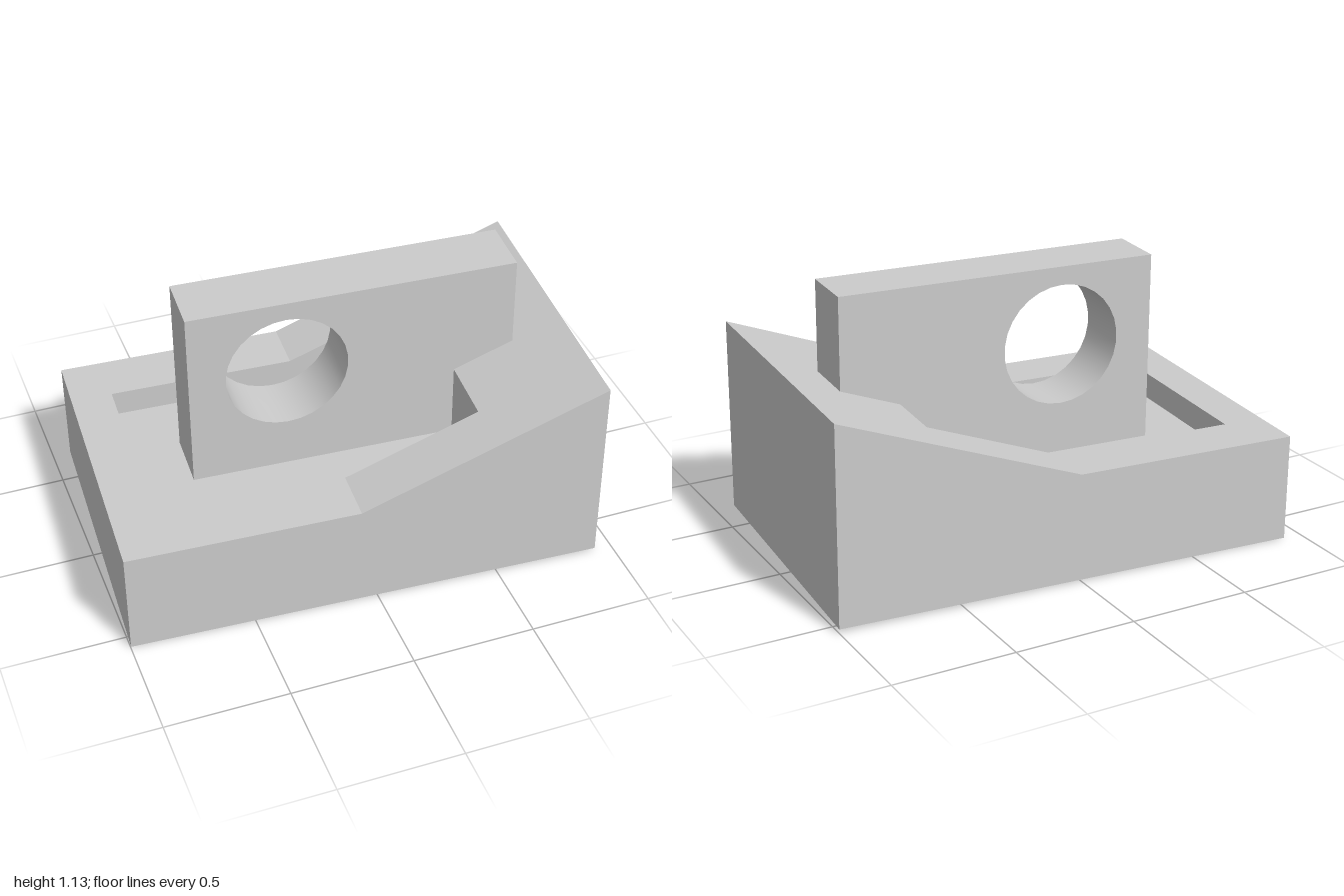
import * as THREE from 'three';
import { toCreasedNormals } from 'three/addons/utils/BufferGeometryUtils.js';

const FLOOR = 0.335;
const US = [-0.9625, -0.794, -0.031, 0.513, 0.9625]; // stations along the length
const VS = [-0.616, -0.395, 0.395, 0.616]; // stations across the width

// Top of the base: level, then a ramp rising to the right end
const topAt = (u) => 0.443 + Math.max(0, (u - US[2]) / (US[4] - US[2])) * 0.37;

function baseGeometry() {
  const pos = [];
  const quad = (a, b, c, d) => pos.push(...a, ...b, ...c, ...a, ...c, ...d);
  const inside = (i, j) => i >= 0 && i < 4 && j >= 0 && j < 3;
  const isPocket = (i, j) => j === 1 && (i === 1 || i === 2);
  const height = (i, j, u) => (!inside(i, j) ? 0 : isPocket(i, j) ? FLOOR : topAt(u));

  // Each cell gets a top, a bottom and a wall wherever its neighbour is lower
  for (let i = 0; i < 4; i++) {
    for (let j = 0; j < 3; j++) {
      const [u0, u1, v0, v1] = [US[i], US[i + 1], VS[j], VS[j + 1]];
      const h = (u) => height(i, j, u);
      quad([u0, h(u0), v0], [u0, h(u0), v1], [u1, h(u1), v1], [u1, h(u1), v0]);
      quad([u0, 0, v0], [u1, 0, v0], [u1, 0, v1], [u0, 0, v1]);
      const sides = [
        [0, 1, u0, v1, u1, v1],
        [1, 0, u1, v1, u1, v0],
        [0, -1, u1, v0, u0, v0],
        [-1, 0, u0, v0, u0, v1],
      ];
      for (const [di, dj, ua, va, ub, vb] of sides) {
        const low = (u) => height(i + di, j + dj, u);
        if (h(ua) - low(ua) < 1e-6 && h(ub) - low(ub) < 1e-6) continue;
        quad([ua, low(ua), va], [ub, low(ub), vb], [ub, h(ub), vb], [ua, h(ua), va]);
      }
    }
  }
  const geo = new THREE.BufferGeometry();
  geo.setAttribute('position', new THREE.Float32BufferAttribute(pos, 3));
  geo.computeVertexNormals();
  return geo;
}

function plateGeometry() {
  const shape = new THREE.Shape([
    new THREE.Vector2(-0.574, FLOOR),
    new THREE.Vector2(0.758, FLOOR),
    new THREE.Vector2(0.758, 1.113),
    new THREE.Vector2(-0.574, 1.113),
  ]);
  const hole = new THREE.Path();
  hole.absarc(-0.178, 0.79, 0.248, -Math.PI / 2, Math.PI * 1.5, false);
  shape.holes.push(hole);
  const geo = new THREE.ExtrudeGeometry(shape, { depth: 0.245, bevelEnabled: false, curveSegments: 15 });
  geo.translate(0, 0, -0.013 - 0.1225);
  return toCreasedNormals(geo, 0.6);
}

export function createModel() {
  const model = new THREE.Group();
  const material = new THREE.MeshStandardMaterial({ color: 0xcccccc });
  const add = (name, geometry) => {
    const mesh = new THREE.Mesh(geometry, material);
    mesh.name = name;
    model.add(mesh);
  };
  add('rampedBaseWithPocket', baseGeometry());
  add('uprightPlateWithHole', plateGeometry());

  // The block sits slightly turned and tilted
  model.rotation.set(0, -0.06, 0.0073);
  model.position.y = 0.009;
  return model;
}
